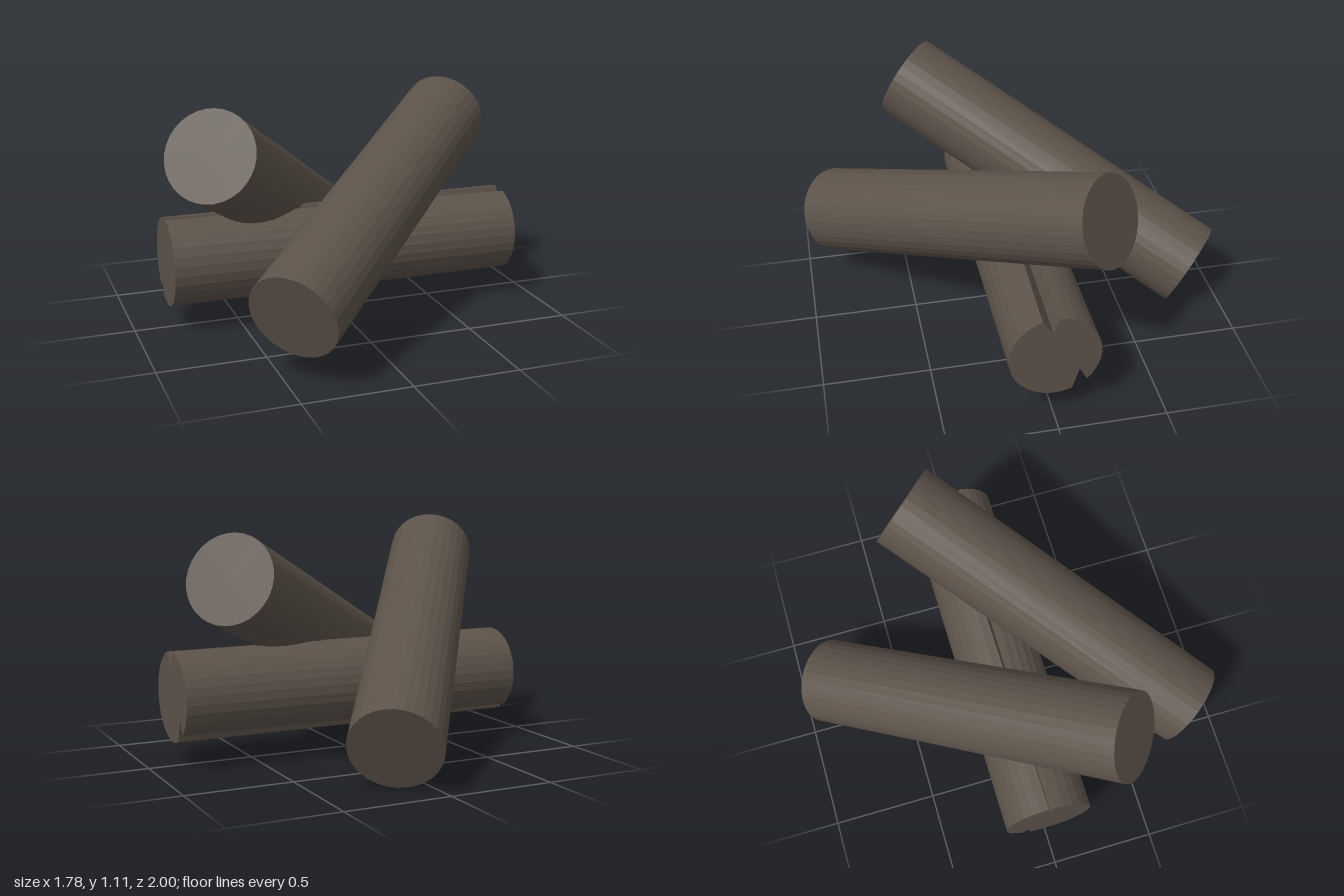
import * as THREE from 'three';

const RADIUS = 0.21;

// Plain round log between two end centres
function roundLog(name, from, to, material) {
  const a = new THREE.Vector3(...from);
  const b = new THREE.Vector3(...to);
  const dir = b.clone().sub(a);
  const log = new THREE.Mesh(new THREE.CylinderGeometry(RADIUS, RADIUS, dir.length(), 32), material);
  log.name = name;
  log.position.copy(a).add(b).multiplyScalar(0.5);
  log.quaternion.setFromUnitVectors(new THREE.Vector3(0, 1, 0), dir.normalize());
  return log;
}

// Cross-section with two V-shaped splits; angles run from the top towards +z
function splitSection(x, cy, cz, top, bottom) {
  const points = [];
  const add = (z, y) => points.push(new THREE.Vector3(x, cy + y, cz + z));
  const arc = (start, end, steps) => {
    for (let i = 0; i <= steps; i++) {
      const t = start + (end - start) * i / steps;
      add(RADIUS * Math.sin(t), RADIUS * Math.cos(t));
    }
  };
  arc(top.start, bottom.start, 16);
  add(...bottom.apex);
  arc(bottom.end, 2 * Math.PI + top.end, 12);
  add(...top.apex);
  return points;
}

// Loft between two sections, with a cap on each end
function loftLog(left, right) {
  const positions = [];
  const face = (...corners) => corners.forEach((p) => positions.push(p.x, p.y, p.z));
  left.forEach((p, i) => {
    const j = (i + 1) % left.length;
    face(p, left[j], right[j]);
    face(p, right[j], right[i]);
  });
  const flat = (section) => section.map((p) => new THREE.Vector2(-p.z, p.y));
  for (const [a, b, c] of THREE.ShapeUtils.triangulateShape(flat(right), [])) face(right[a], right[b], right[c]);
  for (const [a, b, c] of THREE.ShapeUtils.triangulateShape(flat(left), [])) face(left[c], left[b], left[a]);
  const geometry = new THREE.BufferGeometry();
  geometry.setAttribute('position', new THREE.Float32BufferAttribute(positions, 3));
  geometry.computeVertexNormals();
  return geometry;
}

export function createModel() {
  const model = new THREE.Group();
  model.name = 'logPile';
  const bark = new THREE.MeshStandardMaterial({ color: 0x5c5249, flatShading: true });
  bark.name = 'bark';

  // Two crossing logs resting on the split one
  model.add(roundLog('backLog', [0.19, 0.19, -0.858], [-0.712, 0.923, 0.415], bark));
  model.add(roundLog('frontLog', [-0.482, 0.313, 0.841], [0.702, 0.877, -0.281], bark));

  // Level log whose splits widen towards +x
  const left = splitSection(-0.84, 0.328, 0.003,
    { start: 0.1, end: -0.03, apex: [0.0, 0.17] },
    { start: Math.PI + 0.45, end: Math.PI + 0.64, apex: [-0.1, -0.125] });
  const right = splitSection(0.885, 0.323, -0.007,
    { start: 0.29, end: -0.07, apex: [0.012, 0.132] },
    { start: Math.PI + 0.38, end: Math.PI + 0.76, apex: [-0.111, -0.088] });
  const splitLog = new THREE.Mesh(loftLog(left, right), bark);
  splitLog.name = 'splitLog';
  model.add(splitLog);

  return model;
}
